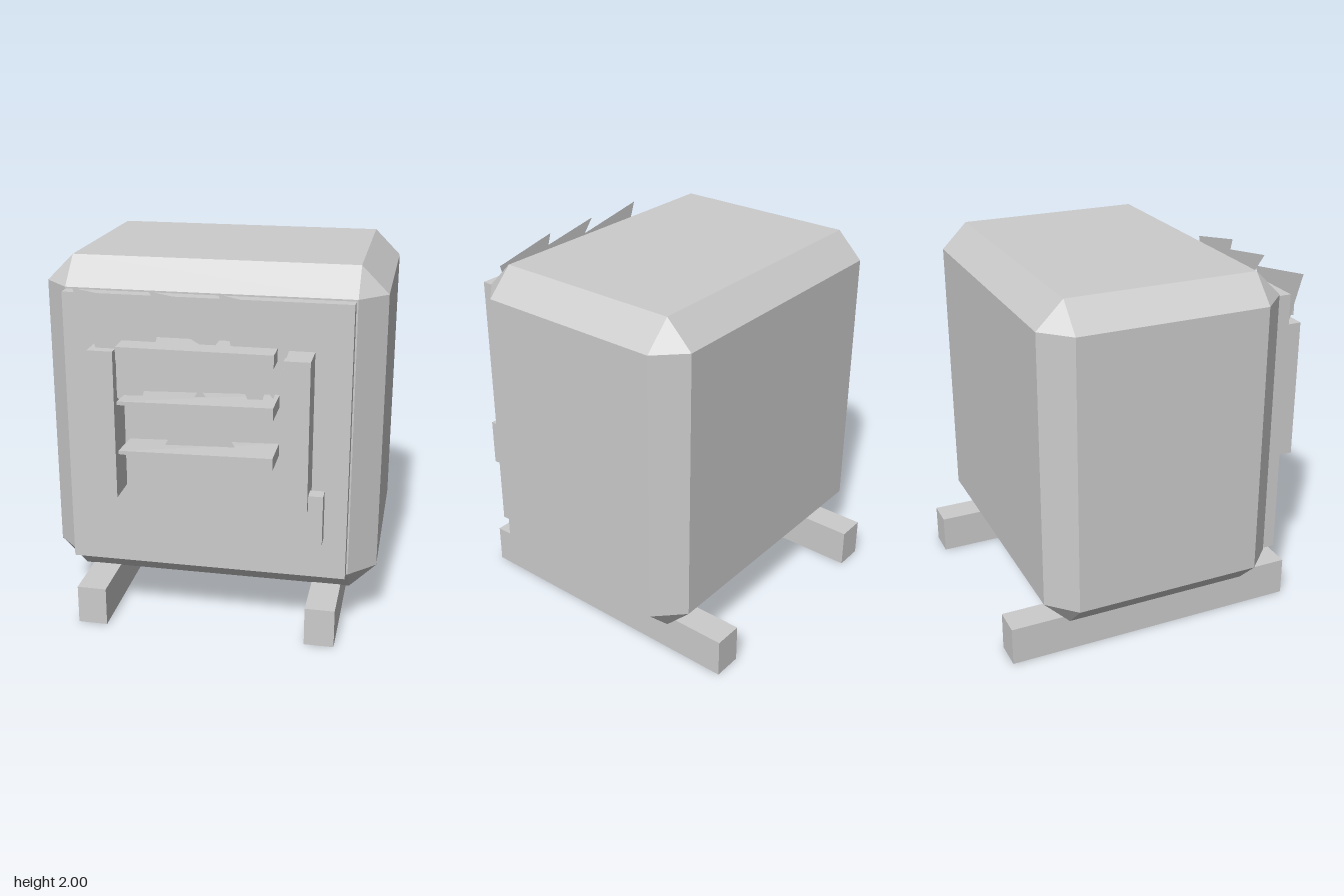
import * as THREE from 'three';
import { ConvexGeometry } from 'three/addons/geometries/ConvexGeometry.js';

const material = new THREE.MeshStandardMaterial({ color: 0xcccccc, flatShading: true });
const sheetMaterial = new THREE.MeshStandardMaterial({ color: 0xcccccc, flatShading: true, side: THREE.DoubleSide });

export function createModel() {
  const model = new THREE.Group();
  model.name = 'stove';

  function add(name, geometry, mat = material) {
    const mesh = new THREE.Mesh(geometry, mat);
    mesh.name = name;
    model.add(mesh);
    return mesh;
  }

  // Box given by its extents on each axis
  function box(name, [x0, x1], [y0, y1], [z0, z1]) {
    const mesh = add(name, new THREE.BoxGeometry(x1 - x0, y1 - y0, z1 - z0));
    mesh.position.set((x0 + x1) / 2, (y0 + y1) / 2, (z0 + z1) / 2);
    return mesh;
  }

  // Thin flat cut-out facing the front
  function sheet(name, points, z) {
    const shape = new THREE.Shape(points.map(([x, y]) => new THREE.Vector2(x, y)));
    add(name, new THREE.ShapeGeometry(shape), sheetMaterial).position.z = z;
  }

  // Body: a box with every edge chamfered
  const half = [0.895, 0.895, 0.66];
  const chamfer = 0.143;
  const corners = [];
  for (const sx of [-1, 1]) for (const sy of [-1, 1]) for (const sz of [-1, 1]) {
    for (let axis = 0; axis < 3; axis++) {
      const h = half.map((v, i) => (i === axis ? v : v - chamfer));
      corners.push(new THREE.Vector3(sx * h[0], sy * h[1], sz * h[2]));
    }
  }
  add('body', new ConvexGeometry(corners)).position.set(0, 1.105, -0.088);

  // Floor rails
  box('rightRail', [-0.71, -0.55], [0, 0.215], [-0.915, 0.737]);
  box('leftRail', [0.545, 0.705], [0, 0.215], [-0.915, 0.737]);

  // Door, window pane, uprights and latch
  box('door', [-0.748, 0.743], [0.36, 1.848], [0.56, 0.642]);
  box('window', [-0.5, 0.49], [0.92, 1.508], [0.63, 0.661]);
  box('rightUpright', [-0.562, -0.43], [0.82, 1.605], [0.66, 0.842]);
  box('leftUpright', [0.425, 0.557], [0.82, 1.605], [0.66, 0.842]);
  box('latch', [0.51, 0.632], [0.63, 0.895], [0.73, 0.805]);

  // Grate bars: the lower two are pinched and tilted at one end
  box('topBar', [-0.395, 0.388], [1.585, 1.65], [0.695, 0.907]);
  for (const [name, y] of [['middleBar', 1.352], ['bottomBar', 1.09]]) {
    const bar = box(name, [-0.395, 0.388], [y - 0.033, y + 0.033], [0.695, 0.907]);
    const p = bar.geometry.attributes.position;
    for (let i = 0; i < p.count; i++) {
      if (p.getX(i) > 0) continue;
      const front = p.getZ(i) > 0;
      const top = p.getY(i) > 0;
      p.setY(i, front ? (top ? 0.018 : 0) : (top ? 0.005 : -0.03));
    }
    bar.geometry.computeVertexNormals();
  }

  // Jagged flame and the embers below it
  sheet('flame', [
    [-0.64, 1.905], [-0.19, 1.825], [-0.255, 1.905], [0.115, 1.84], [0.095, 1.905], [0.495, 1.825],
    [0.37, 1.39], [0.33, 1.44], [0.29, 1.27], [0.21, 1.45], [0.165, 1.6], [0.14, 1.73],
    [0.08, 1.65], [0, 1.65], [-0.07, 1.69], [-0.18, 1.81], [-0.33, 1.23], [-0.43, 1.35], [-0.53, 1.6],
  ], 0.785);
  sheet('embers', [[-0.38, 0.775], [0.375, 0.775], [0, 1.425]], 0.78);

  return model;
}
